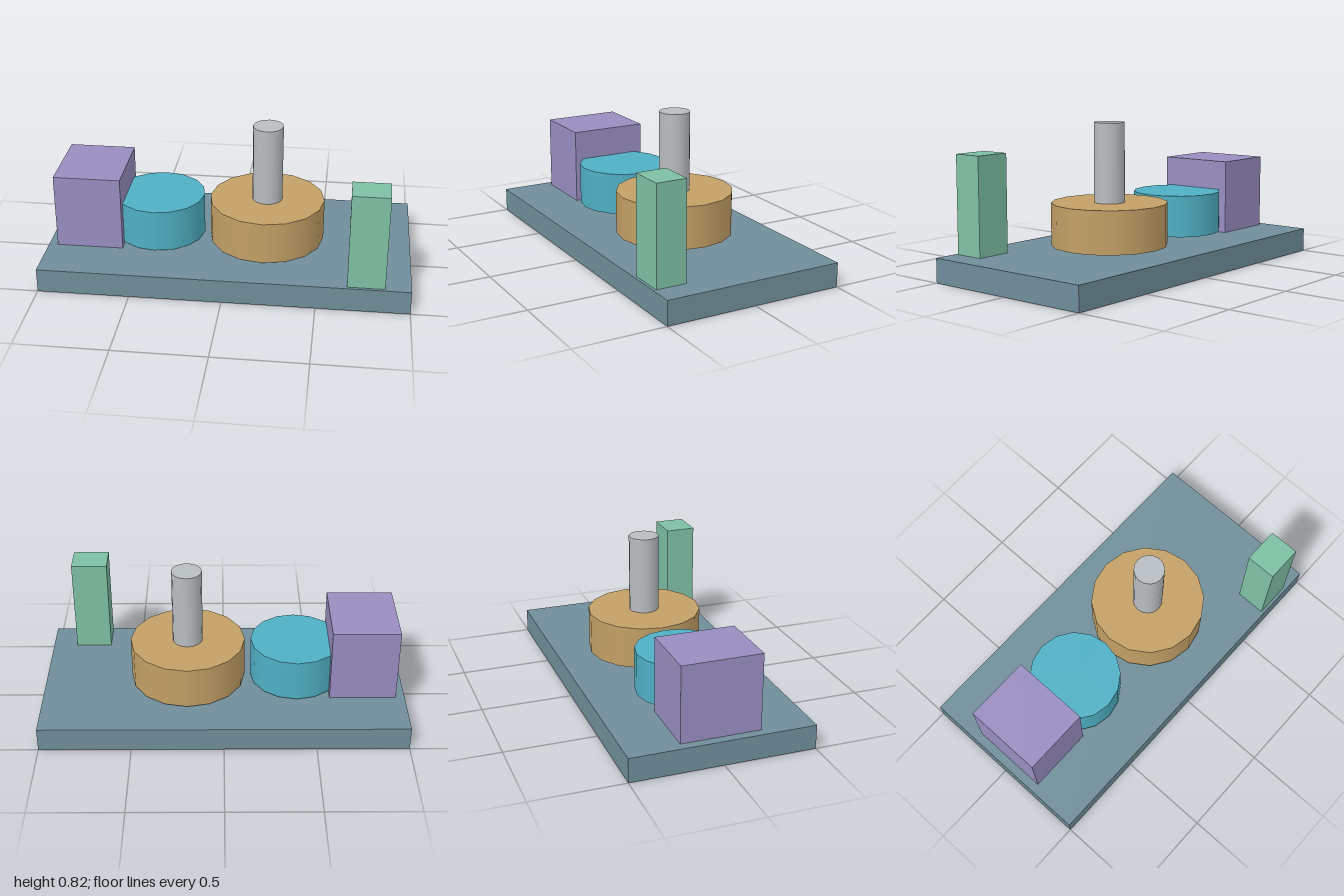
import * as THREE from 'three';

const paint = (name, color) => {
  const m = new THREE.MeshStandardMaterial({ color });
  m.name = name;
  return m;
};

export function createModel() {
  const model = new THREE.Group();
  model.name = 'gearMechanism';

  const add = (name, geometry, material, x, bottom, height, z = 0) => {
    const mesh = new THREE.Mesh(geometry, material);
    mesh.name = name;
    mesh.position.set(x, bottom + height / 2, z);
    model.add(mesh);
  };
  const block = (name, material, x, z, bottom, w, h, d) =>
    add(name, new THREE.BoxGeometry(w, h, d), material, x, bottom, h, z);
  const disc = (name, material, x, bottom, r, h) =>
    add(name, new THREE.CylinderGeometry(r, r, h, 16), material, x, bottom, h);

  const plateTop = 0.133;

  // Base plate
  block('basePlate', paint('slate', 0x6f8e9a), 0, 0, 0, 2, plateTop, 1);

  // Motor housing and side post standing on the plate
  block('motorHousing', paint('lavender', 0x988dc0), -0.767, 0, plateTop, 0.367, 0.417, 0.433);
  block('sidePost', paint('mint', 0x7ec0a4), 0.763, 0.4, plateTop, 0.2, 0.534, 0.167);

  // Two wheels hovering just above the plate
  disc('smallWheel', paint('teal', 0x4fb0c4), -0.4, 0.15, 0.25, 0.234);
  disc('largeWheel', paint('tan', 0xc3a066), 0.2, 0.15, 0.317, 0.234);

  // Shaft rising from the large wheel
  disc('shaft', paint('steel', 0xb8bdc1), 0.2, 0.36, 0.083, 0.458);

  return model;
}
